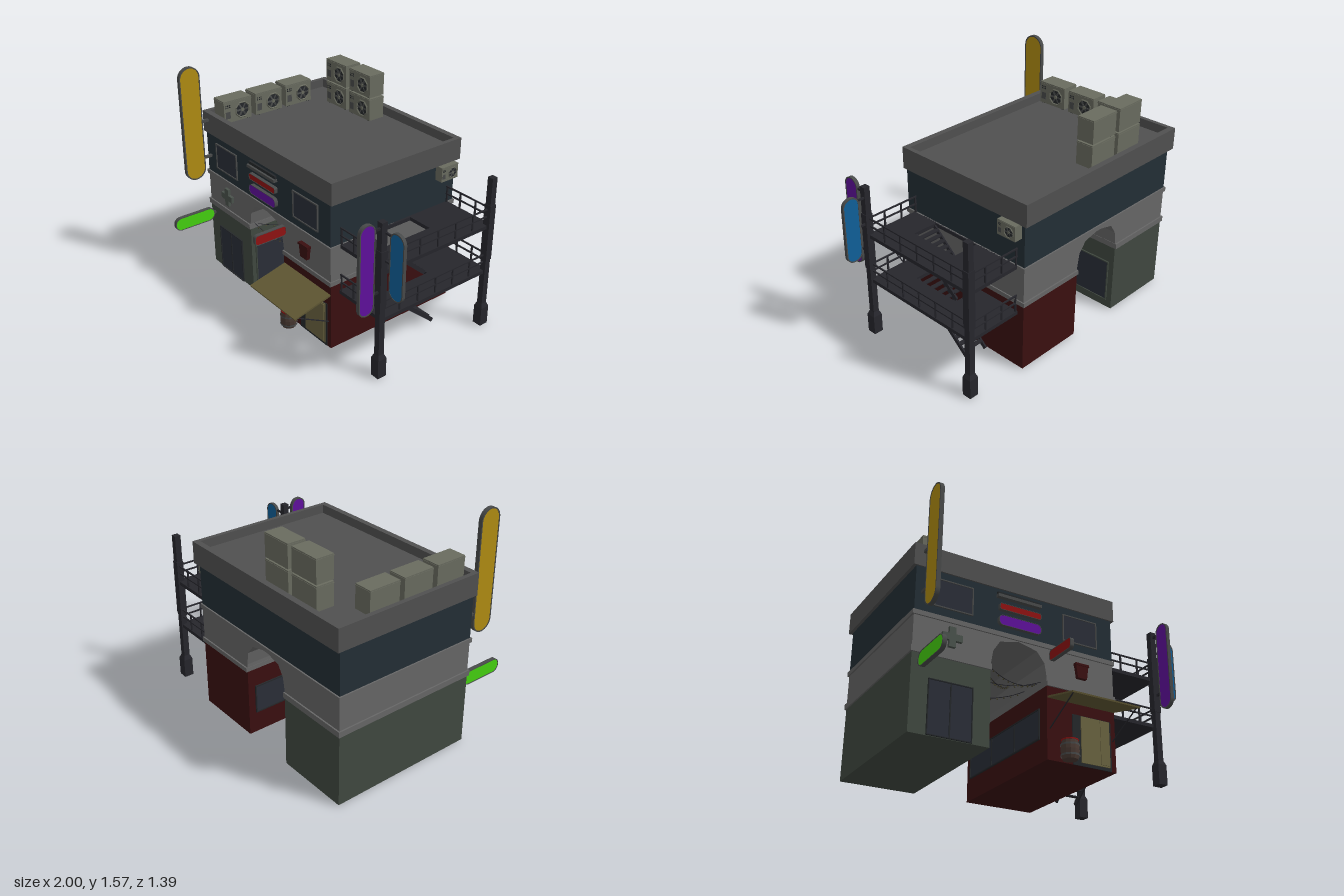
import * as THREE from 'three';

const mat = (color) => new THREE.MeshStandardMaterial({ color, flatShading: true, side: THREE.DoubleSide });
const M = {
  roof: mat(0x505050), band: mat(0x666666), navy: mat(0x232e35), green: mat(0x404840), red: mat(0x3a0f10),
  metal: mat(0x26262c), rim: mat(0x484a4a), glass: mat(0x2a2e38), unit: mat(0x696b5f), dark: mat(0x24272a),
  awning: mat(0x5f5733), panel: mat(0x6a6340), yellow: mat(0xb08c12), purple: mat(0x5f109c), blue: mat(0x0f5f98),
  lime: mat(0x45d010), sign: mat(0x8f1212), wood: mat(0x4a3a33), cross: mat(0x4a524c), bulb: mat(0x4a4630),
};

function add(parent, name, geo, m, pos = [0, 0, 0]) {
  const mesh = new THREE.Mesh(geo, m);
  mesh.name = name;
  mesh.position.set(...pos);
  parent.add(mesh);
  return mesh;
}

// Box given by its extents
function box(parent, name, x0, x1, y0, y1, z0, z1, m) {
  return add(parent, name, new THREE.BoxGeometry(x1 - x0, y1 - y0, z1 - z0), m,
    [(x0 + x1) / 2, (y0 + y1) / 2, (z0 + z1) / 2]);
}

// Square bar from point a to point b
function bar(parent, name, a, b, w, m = M.metal, h = w) {
  const A = new THREE.Vector3(...a), B = new THREE.Vector3(...b);
  const mesh = add(parent, name, new THREE.BoxGeometry(w, h, A.distanceTo(B)), m);
  mesh.position.copy(A).add(B).multiplyScalar(0.5);
  mesh.lookAt(B);
  return mesh;
}

function group(parent, name, pos = [0, 0, 0], ry = 0) {
  const g = new THREE.Group();
  g.name = name;
  g.position.set(...pos);
  g.rotation.y = ry;
  parent.add(g);
  return g;
}

const poly = (pts) => new THREE.Shape(pts.map((p) => new THREE.Vector2(...p)));
const rect = (x0, x1, y0, y1) => poly([[x0, y0], [x1, y0], [x1, y1], [x0, y1]]);
const extrude = (shape, depth) => new THREE.ExtrudeGeometry(shape, { depth, bevelEnabled: false, curveSegments: 8 });

function roundRect(w, h, r) {
  const s = new THREE.Shape(), x = w / 2 - r, y = h / 2 - r;
  s.absarc(x, y, r, 0, Math.PI / 2);
  s.absarc(-x, y, r, Math.PI / 2, Math.PI);
  s.absarc(-x, -y, r, Math.PI, Math.PI * 1.5);
  s.absarc(x, -y, r, Math.PI * 1.5, Math.PI * 2);
  s.closePath();
  return s;
}

// Sign board: rim with a slightly recessed coloured panel, facing z
function sign(parent, name, w, h, r, t, m, pos, ry = 0, rim = 0.008) {
  const g = group(parent, name, pos, ry), s = roundRect(w, h, r);
  s.holes.push(roundRect(w - 2 * rim, h - 2 * rim, r - rim * 0.8));
  add(g, 'signRim', extrude(s, t), M.rim, [0, 0, -t / 2]);
  add(g, 'signPanel', extrude(roundRect(w - 2 * rim, h - 2 * rim, r - rim * 0.8), t * 0.84), m, [0, 0, -t * 0.42]);
}

// Framed window facing +z, centred on pos
function pane(parent, name, w, h, pos, ry = 0, mullions = 0, t = 0.008, frame = M.rim) {
  const g = group(parent, name, pos, ry), s = rect(-w / 2, w / 2, -h / 2, h / 2);
  s.holes.push(rect(-w / 2 + t, w / 2 - t, -h / 2 + t, h / 2 - t));
  add(g, 'frame', extrude(s, 0.01), frame);
  box(g, 'glass', -w / 2 + t, w / 2 - t, -h / 2 + t, h / 2 - t, -0.005, 0.004, M.glass);
  for (let i = 1; i <= mullions; i++) {
    const x = -w / 2 + (w * i) / (mullions + 1);
    box(g, 'mullion', x - 0.004, x + 0.004, -h / 2, h / 2, 0, 0.009, frame);
  }
}

// Air conditioner: base at y = 0, fan on +z
function airUnit(parent, pos, ry = 0, scale = 1) {
  const g = group(parent, 'airConditioner', pos, ry);
  g.scale.setScalar(scale);
  box(g, 'casing', -0.11, 0.11, 0.006, 0.163, -0.062, 0.062, M.unit);
  box(g, 'lid', -0.112, 0.112, 0.148, 0.155, -0.064, 0.064, M.unit);
  for (const x of [-0.085, 0.085]) box(g, 'foot', x - 0.012, x + 0.012, 0, 0.008, -0.055, 0.055, M.dark);
  const fan = group(g, 'fan', [0.035, 0.08, 0.062]);
  add(fan, 'fanWell', new THREE.CircleGeometry(0.055, 8, Math.PI / 8), M.dark, [0, 0, 0.001]);
  add(fan, 'fanRing', new THREE.TorusGeometry(0.056, 0.006, 4, 8).rotateZ(Math.PI / 8), M.unit, [0, 0, 0.004]);
  add(fan, 'hub', new THREE.CylinderGeometry(0.013, 0.013, 0.008, 8).rotateX(Math.PI / 2), M.unit, [0, 0, 0.005]);
  for (let i = 0; i < 6; i++) {
    const blade = new THREE.BoxGeometry(0.034, 0.013, 0.002).rotateX(0.3).translate(0.029, 0, 0.004);
    add(fan, 'blade', blade.rotateZ((i * Math.PI) / 3), M.rim);
  }
  for (let r = 0; r < 2; r++) for (let c = 0; c < 3; c++)
    box(g, 'vent', -0.098 + c * 0.015, -0.09 + c * 0.015, 0.112 + r * 0.014, 0.12 + r * 0.014, 0.06, 0.064, M.dark);
  box(g, 'controlPlate', -0.098, -0.06, 0.035, 0.085, 0.06, 0.063, M.rim);
}

function building(root) {
  const g = group(root, 'building');
  box(g, 'leftShop', -0.98, -0.47, 0, 0.49, -0.67, 0.36, M.green);
  box(g, 'rightShop', -0.08, 0.42, 0, 0.48, -0.67, 0.36, M.red);
  // Middle band bridging the passage with a faceted arch
  const arch = [[-0.98, 0.49], [-0.47, 0.49], [-0.47, 0.53], [-0.455, 0.62], [-0.41, 0.69], [-0.28, 0.72], [-0.15, 0.69],
    [-0.095, 0.62], [-0.08, 0.53], [-0.08, 0.48], [0.42, 0.48], [0.42, 0.74], [-0.98, 0.74]];
  add(g, 'archBand', extrude(poly(arch), 1.03), M.band, [0, 0, -0.67]);
  box(g, 'leftTrim', -0.99, -0.468, 0.487, 0.525, -0.68, 0.37, M.band);
  box(g, 'rightTrim', -0.082, 0.428, 0.475, 0.505, -0.68, 0.37, M.band);
  box(g, 'upperTrim', -0.99, 0.43, 0.725, 0.755, -0.68, 0.37, M.band);
  box(g, 'upperFloor', -0.98, 0.42, 0.74, 1.06, -0.67, 0.36, M.navy);
  // Roof slab and parapet
  box(g, 'roofSlab', -1, 0.44, 1.05, 1.14, -0.7, 0.37, M.roof);
  const s = rect(-1, 0.44, -0.7, 0.37);
  s.holes.push(rect(-0.97, 0.41, -0.66, 0.33));
  add(g, 'parapet', extrude(s, 0.062).rotateX(Math.PI / 2), M.roof, [0, 1.2, 0]);
  // Windows and doors
  pane(g, 'leftWindow', 0.26, 0.19, [-0.73, 0.905, 0.36]);
  pane(g, 'rightWindow', 0.26, 0.19, [0.17, 0.905, 0.36]);
  pane(g, 'doubleDoor', 0.285, 0.34, [-0.728, 0.173, 0.36], 0, 1, 0.006, M.dark);
  pane(g, 'passageWindowLeft', 0.96, 0.31, [-0.47, 0.21, -0.15], Math.PI / 2, 0, 0.008, M.green);
  pane(g, 'passageWindowRight', 0.9, 0.2, [-0.08, 0.25, -0.17], -Math.PI / 2, 2, 0.008, M.dark);
  box(g, 'shopDoorway', 0.1, 0.385, 0, 0.325, 0.355, 0.364, M.dark);
  box(g, 'shopDoor', 0.16, 0.37, 0.02, 0.32, 0.36, 0.37, M.panel);
  box(g, 'shopDoorLeaf', 0.3, 0.362, 0.03, 0.312, 0.368, 0.374, M.panel);
}

function frontDetails(root) {
  const g = group(root, 'frontDetails');
  box(g, 'signLamp', -0.44, -0.13, 0.985, 1.005, 0.36, 0.39, M.rim);
  box(g, 'signLampShade', -0.435, -0.135, 1.005, 1.025, 0.36, 0.375, M.dark);
  sign(g, 'redWallSign', 0.295, 0.045, 0.012, 0.03, M.sign, [-0.278, 0.923, 0.37], 0, 0.003);
  sign(g, 'purpleWallSign', 0.3, 0.07, 0.03, 0.03, M.purple, [-0.28, 0.83, 0.37], 0, 0.003);
  const a = 0.065, b = 0.022;
  const cross = [[-b, -a], [b, -a], [b, -b], [a, -b], [a, b], [b, b], [b, a], [-b, a], [-b, b], [-a, b], [-a, -b], [-b, -b]];
  add(g, 'wallCross', extrude(poly(cross), 0.025), M.cross, [-0.735, 0.63, 0.355]);
  add(g, 'wallBucket', extrude(poly([[-0.034, -0.05], [0.034, -0.05], [0.048, 0.05], [-0.048, 0.05]]), 0.03), M.red, [0.17, 0.62, 0.355]);
  box(g, 'bucketRim', 0.12, 0.22, 0.655, 0.67, 0.36, 0.39, M.red);
  // Projecting signs with wall brackets
  const q = Math.PI / 2;
  sign(g, 'yellowSign', 0.155, 0.825, 0.077, 0.027, M.yellow, [-0.933, 1.148, 0.498], q);
  for (const y of [0.88, 1.15]) bar(g, 'yellowBracket', [-0.933, y, 0.35], [-0.933, y, 0.425], 0.018, M.rim);
  sign(g, 'greenSign', 0.32, 0.098, 0.047, 0.027, M.lime, [-0.933, 0.427, 0.535], q, 0.005);
  bar(g, 'greenBracket', [-0.933, 0.427, 0.35], [-0.933, 0.427, 0.385], 0.018, M.rim);
  sign(g, 'redSign', 0.24, 0.072, 0.022, 0.027, M.sign, [-0.05, 0.675, 0.485], q, 0.004);
  // Sloping awning with stays
  const profile = poly([[0.36, 0.397], [0.635, 0.333], [0.637, 0.343], [0.36, 0.41]]);
  add(g, 'awning', extrude(profile, 0.49).rotateY(-q), M.awning, [0.415, 0, 0]);
  for (const x of [-0.06, 0.4]) bar(g, 'awningStay', [x, 0.2, 0.36], [x, 0.34, 0.62], 0.006);
  // Barrel
  const pts = [[0, 0], [0.047, 0], [0.055, 0.03], [0.057, 0.06], [0.054, 0.095], [0.05, 0.12], [0.042, 0.12], [0.042, 0.112], [0, 0.112]];
  const barrel = group(g, 'barrel', [0.042, 0, 0.42]);
  add(barrel, 'staves', new THREE.LatheGeometry(pts.map((p) => new THREE.Vector2(...p)), 12), M.wood);
  for (const y of [0.025, 0.09]) add(barrel, 'hoop', new THREE.CylinderGeometry(0.059, 0.059, 0.012, 12, 1, true), M.rim, [0, y, 0]);
  add(barrel, 'lid', new THREE.CylinderGeometry(0.053, 0.053, 0.008, 12), M.sign, [0, 0.122, 0]);
  // Strings of lights across the passage
  const strings = [[0.53, 0.475, 0.525, 0.33, 0.25], [0.525, 0.482, 0.52, 0.15, 0.3], [0.52, 0.48, 0.53, -0.1, 0.1], [0.51, 0.53, 0.645, 0.3, -0.1]];
  for (const [y0, y1, y2, z0, z1] of strings) {
    const curve = new THREE.QuadraticBezierCurve3(new THREE.Vector3(-0.47, y0, z0),
      new THREE.Vector3(-0.275, 2 * y1 - (y0 + y2) / 2, (z0 + z1) / 2), new THREE.Vector3(-0.085, y2, z1));
    add(g, 'lightWire', new THREE.TubeGeometry(curve, 12, 0.0025, 4), M.metal);
    for (let i = 1; i < 10; i++) {
      const p = curve.getPoint(i / 10);
      add(g, 'bulb', new THREE.OctahedronGeometry(0.007), M.bulb, [p.x, p.y - 0.008, p.z]);
    }
  }
}

function fireEscape(root) {
  const g = group(root, 'fireEscape');
  // Corner posts with flared feet
  for (const z of [0.295, -0.607]) {
    box(g, 'postFoot', 0.78, 0.846, 0, 0.135, z - 0.033, z + 0.033, M.metal);
    add(g, 'postTaper', new THREE.CylinderGeometry(0.021 * Math.SQRT2, 0.033 * Math.SQRT2, 0.03, 4).rotateY(Math.PI / 4), M.metal, [0.813, 0.15, z]);
    box(g, 'post', 0.792, 0.834, 0.16, 1.09, z - 0.021, z + 0.021, M.metal);
    box(g, 'postCollar', 0.787, 0.839, 0.5, 0.9, z - 0.024, z + 0.024, M.metal);
  }
  for (const [top, drop, zEnd] of [[0.755, 0.42, -0.27], [0.42, 0.005, -0.365]]) {
    // Platform with stair opening
    const s = rect(0.415, 0.82, -0.62, 0.29);
    s.holes.push(rect(0.435, 0.615, -0.28, 0.085));
    add(g, 'platform', extrude(s, 0.025).rotateX(Math.PI / 2), M.metal, [0, top, 0]);
    // Railings
    for (const h of [0.06, 0.113]) {
      bar(g, 'sideRail', [0.81, top + h, -0.61], [0.81, top + h, 0.285], 0.009);
      for (const z of [-0.612, 0.282]) bar(g, 'endRail', [0.42, top + h, z], [0.81, top + h, z], 0.009);
    }
    for (let i = 1; i < 6; i++) {
      const z = -0.61 + i * 0.149;
      bar(g, 'railPost', [0.81, top, z], [0.81, top + 0.113, z], 0.009);
    }
    for (const x of [0.43, 0.55, 0.685]) for (const z of [-0.612, 0.282])
      box(g, 'railPost', x - 0.005, x + 0.005, top, top + 0.113, z - 0.005, z + 0.005, M.metal);
    // Stair flight
    const y0 = top - 0.02, n = 11;
    for (const x of [0.442, 0.597]) bar(g, 'stringer', [x, y0, 0.09], [x, drop, zEnd], 0.012, M.metal, 0.028);
    for (let i = 1; i <= n; i++) {
      const t = i / (n + 1), y = y0 + (drop - y0) * t + 0.012, z = 0.09 + (zEnd - 0.09) * t;
      box(g, 'tread', 0.442, 0.597, y - 0.004, y + 0.004, z - 0.016, z + 0.016, M.metal);
    }
  }
  // Signs hung from the front post
  sign(g, 'purpleSign', 0.115, 0.615, 0.056, 0.025, M.purple, [0.815, 0.803, 0.415], Math.PI / 2);
  for (const y of [0.62, 1.05]) bar(g, 'purpleBracket', [0.815, y, 0.3], [0.815, y, 0.365], 0.014);
  sign(g, 'blueSign', 0.12, 0.45, 0.056, 0.022, M.blue, [0.94, 0.835, 0.285]);
  for (const y of [0.835, 1.02]) bar(g, 'blueBracket', [0.82, y, 0.285], [0.89, y, 0.285], 0.012);
}

export function createModel() {
  const root = new THREE.Group();
  root.name = 'cornerBuilding';
  building(root);
  frontDetails(root);
  fireEscape(root);
  // Roof and wall air conditioners
  for (const x of [-0.6, -0.345]) for (const y of [1.14, 1.307]) airUnit(root, [x, y, -0.555]);
  for (const z of [-0.31, -0.053, 0.205]) airUnit(root, [-0.868, 1.14, z], Math.PI / 2);
  airUnit(root, [0.438, 0.945, -0.575], Math.PI / 2, 0.65);
  return root;
}
